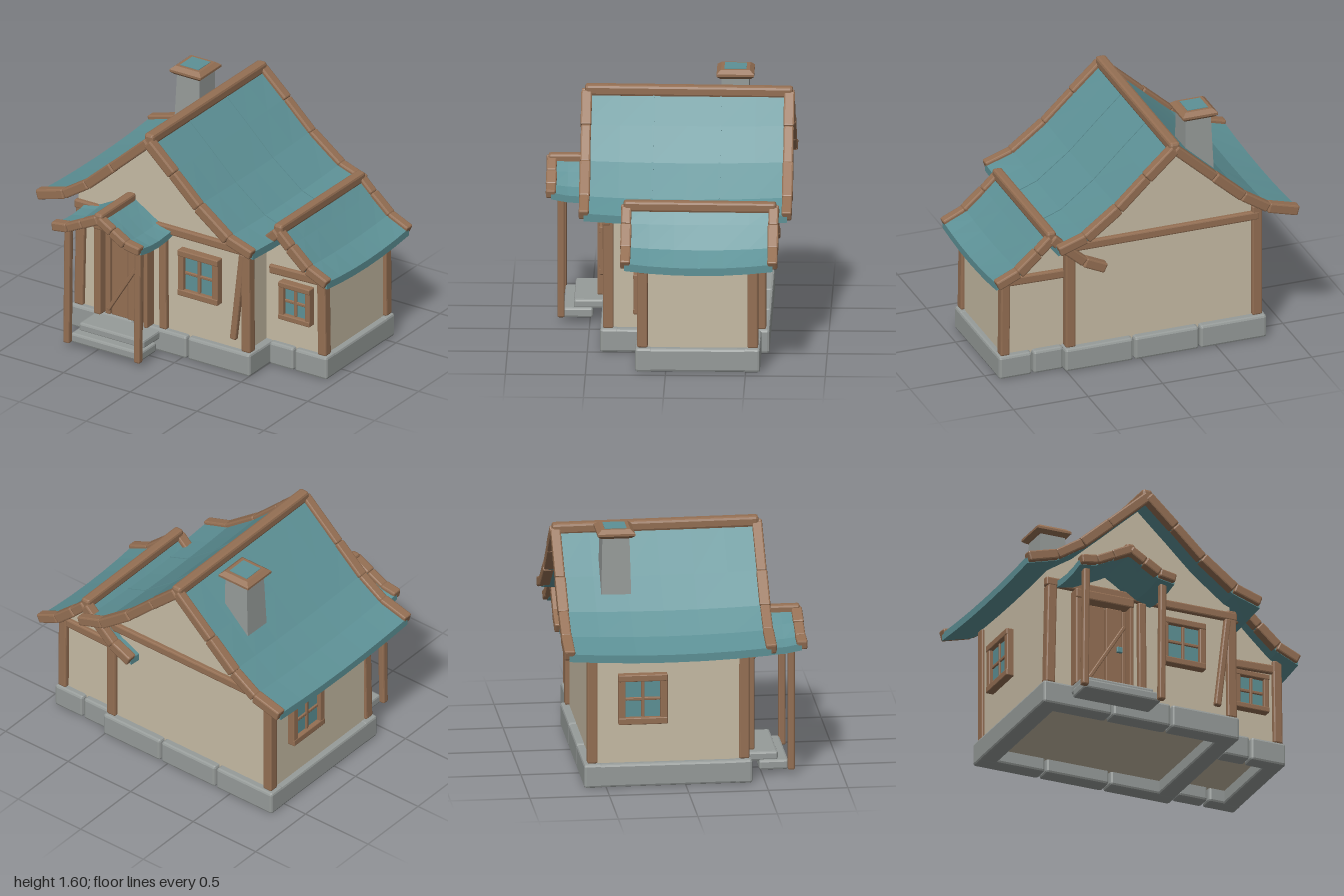
import * as THREE from 'three';
import { RoundedBoxGeometry } from 'three/addons/geometries/RoundedBoxGeometry.js';

const paint = (name, color) =>
  Object.assign(new THREE.MeshStandardMaterial({ color, flatShading: true }), { name });

export function createModel() {
  const model = new THREE.Group();
  model.name = 'cottage';
  const wood = paint('wood', 0x946f53);
  const teal = paint('teal', 0x5d9196);
  const plaster = paint('plaster', 0xc6bba4);
  const stone = paint('stone', 0x969b99);

  const add = (name, geometry, material, parent = model) => {
    const mesh = new THREE.Mesh(geometry, material);
    mesh.name = name;
    parent.add(mesh);
    return mesh;
  };

  // Chamfered block given by its limits on each axis
  const block = (name, mat, [x0, x1], [y0, y1], [z0, z1], parent = model, bevel = 0.009) => {
    const w = x1 - x0, h = y1 - y0, d = z1 - z0;
    const r = Math.min(bevel, w / 4, h / 4, d / 4);
    const mesh = add(name, new RoundedBoxGeometry(w, h, d, 1, r), mat, parent);
    mesh.position.set((x0 + x1) / 2, (y0 + y1) / 2, (z0 + z1) / 2);
    return mesh;
  };

  // Chamfered beam between two points in a plane of constant z
  const beam = (name, [xa, ya], [xb, yb], z, thick, depth, parent = model, mat = wood) => {
    const length = Math.hypot(xb - xa, yb - ya);
    const r = Math.min(0.01, thick / 4, depth / 4);
    const mesh = add(name, new RoundedBoxGeometry(length, thick, depth, 1, r), mat, parent);
    mesh.position.set((xa + xb) / 2, (ya + yb) / 2, z);
    mesh.rotation.z = Math.atan2(yb - ya, xb - xa);
    return mesh;
  };

  const polygon = (points) => new THREE.Shape(points.map(([x, y]) => new THREE.Vector2(x, y)));
  const shift = (points, dy) => points.map(([x, y]) => [x, y + dy]);

  // Sheet following a roof profile; the middle of its length sags towards the eaves
  const roofSheet = (name, profile, roof, z0, z1, steps, up, down) => {
    const outline = [...shift(profile, up), ...shift(profile, -down).reverse()];
    const geo = new THREE.ExtrudeGeometry(polygon(outline), { depth: z1 - z0, steps, bevelEnabled: false });
    geo.translate(0, 0, z0);
    const p = geo.attributes.position;
    const mid = (roof.z0 + roof.z1) / 2, half = (roof.z1 - roof.z0) / 2;
    for (let i = 0; i < p.count; i++) {
      const t = (p.getZ(i) - mid) / half;
      const out = Math.min(1, Math.abs(p.getX(i) - roof.ridge) / roof.span);
      p.setY(i, p.getY(i) - roof.sag * (1 - t * t) * out);
    }
    geo.computeVertexNormals();
    return add(name, geo, teal);
  };

  // Row of short verge beams along a profile
  const verge = (name, profile, z, size) => {
    const group = new THREE.Group();
    group.name = name;
    for (let i = 1; i < profile.length; i++) {
      beam('vergeBeam', profile[i - 1], profile[i], z, size + (i % 2) * 0.004, 0.063 + (i % 2) * 0.005, group);
    }
    model.add(group);
  };

  // Main roof
  const mainProfile = [[-1, 0.93], [-0.8, 0.985], [-0.63, 1.095], [-0.44, 1.265], [-0.175, 1.505],
    [0.01, 1.335], [0.2, 1.155], [0.42, 0.99], [0.6, 0.93]];
  const mainRoof = { z0: -0.75, z1: 0.52, ridge: -0.175, span: 0.8, sag: 0.025 };
  roofSheet('mainRoof', mainProfile, mainRoof, -0.75, 0.52, 6, 0.012, 0.038);
  for (const z of [0.1, -0.32]) {
    roofSheet('roofSeam', mainProfile.slice(4), mainRoof, z - 0.006, z + 0.006, 1, 0.017, 0.02);
  }
  verge('mainVergeFront', mainProfile, 0.52, 0.063);
  verge('mainVergeBack', mainProfile, -0.748, 0.063);
  block('mainRidge', wood, [-0.21, -0.14], [1.483, 1.555], [-0.77, 0.53], model, 0.018).rotation.x = -0.006;

  // Side wing roof
  const wingProfile = [[0.26, 0.72], [0.4, 0.785], [0.53, 0.9], [0.62, 0.985], [0.71, 0.9], [0.84, 0.785], [0.985, 0.72]];
  const wingRoof = { z0: -0.67, z1: 0.26, ridge: 0.62, span: 0.37, sag: 0.03 };
  roofSheet('wingRoof', wingProfile, wingRoof, -0.67, 0.26, 6, 0.012, 0.036);
  verge('wingVergeFront', wingProfile, 0.252, 0.062);
  verge('wingVergeBack', wingProfile, -0.668, 0.062);
  block('wingRidge', wood, [0.588, 0.652], [0.965, 1.035], [-0.685, 0.27], model, 0.016).rotation.x = -0.006;

  // Porch roof
  const porchProfile = [[-0.74, 0.87], [-0.63, 0.885], [-0.52, 0.94], [-0.4, 1.0],
    [-0.3, 0.94], [-0.2, 0.88], [-0.09, 0.86]];
  const porchRoof = { z0: 0.34, z1: 0.74, ridge: -0.4, span: 0.3, sag: 0.025 };
  roofSheet('porchRoof', porchProfile, porchRoof, 0.34, 0.74, 4, 0.012, 0.032);
  verge('porchVerge', porchProfile, 0.743, 0.056);
  block('porchRidge', wood, [-0.43, -0.37], [0.975, 1.04], [0.37, 0.765], model, 0.015);

  // Plaster walls reaching up to the roof sheets
  const wall = (name, points, z0, z1) => {
    const geo = new THREE.ExtrudeGeometry(polygon(points), { depth: z1 - z0, bevelEnabled: false });
    geo.translate(0, 0, z0);
    add(name, geo, plaster);
  };
  wall('mainWalls', [[-0.8, 0.1], [0.46, 0.1], [0.46, 0.94], ...shift(mainProfile.slice(1, 8), -0.036).reverse()], -0.59, 0.375);
  wall('wingWalls', [[0.44, 0.1], [0.895, 0.1], [0.895, 0.725], ...shift(wingProfile.slice(2, 6), -0.034).reverse(), [0.44, 0.78]], -0.545, 0.15);

  // Foundation stones around both rooms
  const stoneRow = (cuts, z0, z1, top = 0.165) => {
    for (let i = 1; i < cuts.length; i++) {
      block('foundationStone', stone, [cuts[i - 1] + 0.005, cuts[i] - 0.005], [0.01, top], [z0, z1], model, 0.016);
    }
  };
  stoneRow([-0.845, -0.365, 0.04, 0.515], 0.3, 0.42);
  stoneRow([-0.845, -0.39, 0.05, 0.515], -0.64, -0.52);
  stoneRow([0.5, 0.69, 0.94], 0.08, 0.19);
  stoneRow([0.5, 0.71, 0.94], -0.59, -0.48);
  for (const [x0, x1, z0, z1] of [[-0.84, -0.72, -0.6, 0.4], [0.39, 0.51, -0.6, 0.4], [0.82, 0.935, -0.57, 0.17]]) {
    block('foundationSide', stone, [x0, x1], [0.012, 0.163], [z0, z1], model, 0.016);
  }

  // Porch steps
  block('upperStep', stone, [-0.65, -0.165], [0.095, 0.155], [0.4, 0.6], model, 0.014);
  block('lowerStep', stone, [-0.67, -0.145], [0.04, 0.105], [0.48, 0.665], model, 0.014);

  // Timber posts: bottom x, top x, bottom y, top y, z, width
  for (const [xa, xb, y0, y1, z, w] of [
    [-0.785, -0.77, 0.165, 0.86, 0.37, 0.066], [0.468, 0.463, 0.165, 0.9, 0.37, 0.066],
    [-0.785, -0.785, 0.165, 0.93, -0.585, 0.066], [0.465, 0.465, 0.165, 0.92, -0.585, 0.066],
    [-0.15, -0.155, 0.165, 0.83, 0.375, 0.055],
    [0.89, 0.882, 0.165, 0.73, 0.145, 0.062], [0.89, 0.885, 0.165, 0.73, -0.545, 0.062],
  ]) beam('wallPost', [xa, y0], [xb, y1], z, w, 0.066);
  for (const [xa, xb] of [[-0.68, -0.672], [-0.152, -0.145]]) {
    beam('porchPost', [xa, 0.045], [xb, 0.86], 0.68, 0.045, 0.045);
  }
  beam('diagonalBrace', [0.37, 0.23], [0.44, 0.84], 0.385, 0.045, 0.04);

  // Horizontal tie beams
  beam('frontBeam', [-0.815, 0.86], [0.5, 0.86], 0.38, 0.058, 0.05);
  beam('backBeam', [-0.8, 0.86], [0.49, 0.86], -0.595, 0.058, 0.05);
  beam('wingFrontBeam', [0.49, 0.66], [0.915, 0.672], 0.15, 0.06, 0.045);
  beam('wingBackBeam', [0.49, 0.665], [0.915, 0.672], -0.55, 0.06, 0.045);

  // Plank door with frame, batten and knob plate
  const door = new THREE.Group();
  door.name = 'door';
  model.add(door);
  block('doorJambLeft', wood, [-0.635, -0.585], [0.165, 0.82], [0.37, 0.455], door);
  block('doorJambRight', wood, [-0.262, -0.235], [0.165, 0.82], [0.37, 0.455], door);
  block('doorHeader', wood, [-0.635, -0.235], [0.755, 0.82], [0.37, 0.46], door);
  const planks = [-0.58, -0.535, -0.41, -0.295, -0.262];
  for (let i = 1; i < planks.length; i++) {
    block('doorPlank', wood, [planks[i - 1] + 0.003, planks[i] - 0.003], [0.165, 0.745], [0.37, 0.405 + (i % 2) * 0.008], door, 0.005);
  }
  beam('doorBatten', [-0.55, 0.2], [-0.285, 0.63], 0.415, 0.025, 0.02, door);
  block('doorPlate', teal, [-0.338, -0.302], [0.447, 0.485], [0.395, 0.43], door, 0.004);

  // Framed four-pane window, built facing +z around its centre
  const windowAt = (name, w, h, border, x, y, z, turn = 0) => {
    const g = new THREE.Group();
    g.name = name;
    const a = w / 2, b = h / 2;
    add('glass', new THREE.BoxGeometry(w - border, h - border, 0.008), teal, g).position.z = 0.01;
    for (const s of [-1, 1]) {
      const sx = s * (a - border / 2), sy = s * (b - border / 2);
      block('frameSide', wood, [sx - border / 2, sx + border / 2], [-b, b], [-0.02, 0.042], g, 0.006);
      block('frameRail', wood, [-a, a], [sy - border / 2, sy + border / 2], [-0.02, 0.045], g, 0.006);
    }
    block('mullion', wood, [-0.01, 0.01], [-b + border, b - border], [0, 0.027], g, 0.004);
    block('crossbar', wood, [-a + border, a - border], [-0.01, 0.01], [0, 0.025], g, 0.004);
    g.position.set(x, y, z);
    g.rotation.y = turn;
    model.add(g);
  };
  windowAt('frontWindow', 0.3, 0.315, 0.043, 0.125, 0.603, 0.385);
  windowAt('wingWindow', 0.235, 0.26, 0.037, 0.698, 0.48, 0.16);
  windowAt('sideWindow', 0.31, 0.325, 0.045, -0.805, 0.583, -0.27, -Math.PI / 2);

  // Leaning stone chimney with a bevelled square cap
  const frustum = (name, mat, top, bottom, y0, y1) => {
    const geo = new THREE.CylinderGeometry(top * Math.SQRT1_2, bottom * Math.SQRT1_2, y1 - y0, 4);
    geo.rotateY(Math.PI / 4);
    const mesh = add(name, geo, mat);
    mesh.position.set(-0.44, (y0 + y1) / 2, -0.405);
    return mesh;
  };
  frustum('chimneyShaft', stone, 0.17, 0.19, 1.14, 1.56).rotation.z = -0.02;
  frustum('chimneyCapLower', wood, 0.235, 0.19, 1.545, 1.565);
  frustum('chimneyCapMiddle', wood, 0.235, 0.235, 1.565, 1.58);
  frustum('chimneyCapUpper', wood, 0.18, 0.235, 1.58, 1.603);
  frustum('chimneyTop', teal, 0.138, 0.138, 1.598, 1.606);

  return model;
}
